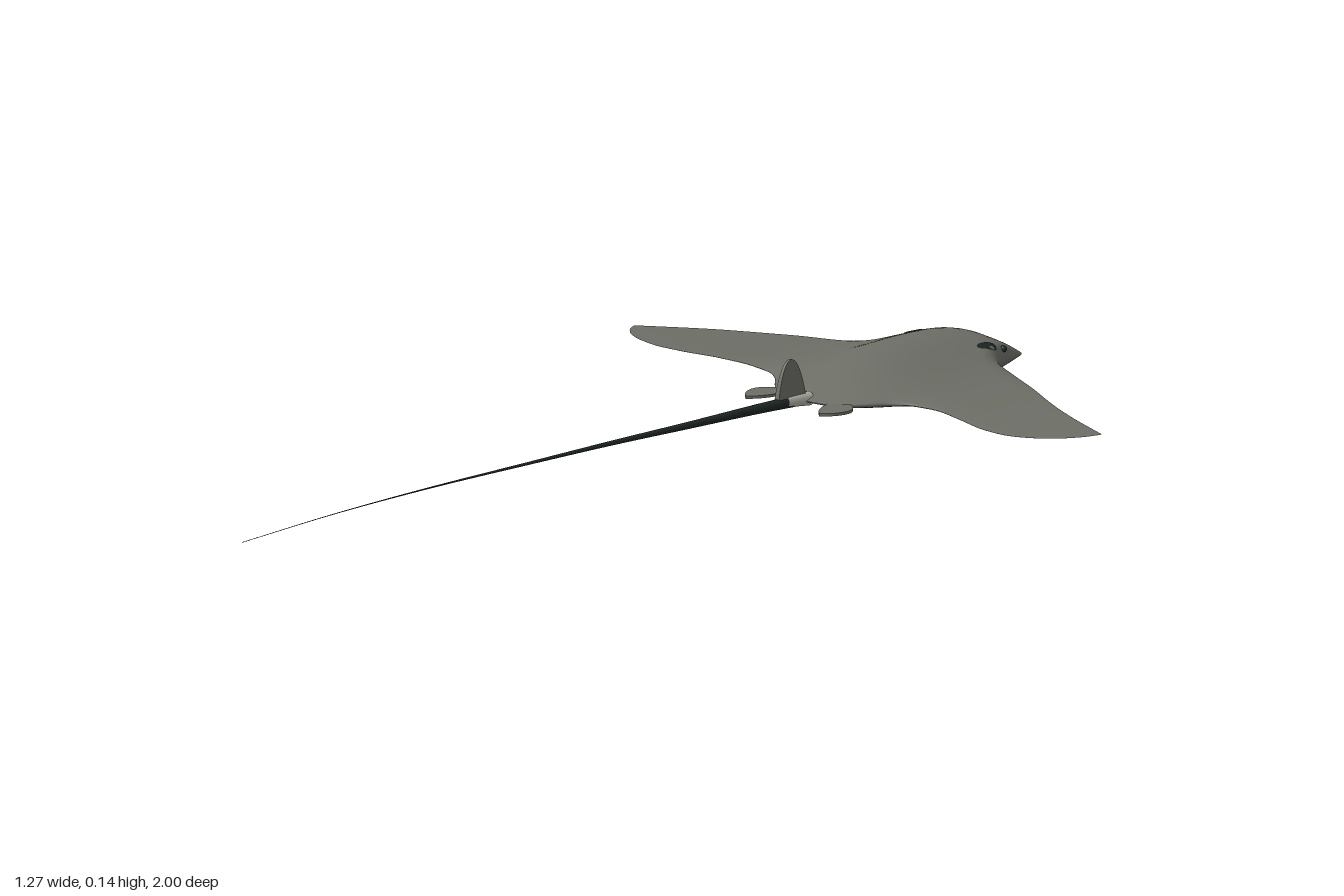
import * as THREE from 'three';

const mat = (name, color, side = THREE.FrontSide) => {
  const m = new THREE.MeshStandardMaterial({ color, side });
  m.name = name;
  return m;
};

// Smooth interpolation through [key, value] pairs without overshoot
function smooth(points) {
  const n = points.length;
  const slope = i => (points[i + 1][1] - points[i][1]) / (points[i + 1][0] - points[i][0]);
  const tangent = i => {
    if (i === 0 || i === n - 1) return slope(i === 0 ? 0 : n - 2);
    const a = slope(i - 1), b = slope(i);
    return a * b <= 0 ? 0 : 2 * a * b / (a + b);
  };
  const tangents = points.map((_, i) => tangent(i));
  return v => {
    const x = Math.min(Math.max(v, points[0][0]), points[n - 1][0]);
    let i = 0;
    while (i < n - 2 && x > points[i + 1][0]) i++;
    const h = points[i + 1][0] - points[i][0], t = (x - points[i][0]) / h;
    const t2 = t * t, t3 = t2 * t;
    return (2 * t3 - 3 * t2 + 1) * points[i][1] + (t3 - 2 * t2 + t) * h * tangents[i]
      + (3 * t2 - 2 * t3) * points[i + 1][1] + (t3 - t2) * h * tangents[i + 1];
  };
}

const SPAN = 0.636;
// Outline: front and rear edge against distance from the middle
const lead = smooth([[0, -1], [0.05, -0.997], [0.068, -0.985], [0.077, -0.96], [0.086, -0.93], [0.1, -0.88],
  [0.117, -0.83], [0.145, -0.79], [0.2, -0.757], [0.3, -0.692], [0.45, -0.575], [SPAN, -0.435]]);
const trail = smooth([[0, -0.285], [0.06, -0.293], [0.09, -0.31], [0.12, -0.34], [0.16, -0.385], [0.2, -0.408],
  [0.25, -0.412], [0.33, -0.39], [0.42, -0.355], [0.48, -0.343], [0.53, -0.35], [0.58, -0.37], [0.62, -0.405], [SPAN, -0.434]]);
// Heights along the spine, belly and rim, and across the wings
const spine = smooth([[-1, 0.035], [-0.95, 0.06], [-0.9, 0.082], [-0.85, 0.1], [-0.8, 0.109], [-0.7, 0.113],
  [-0.6, 0.112], [-0.5, 0.105], [-0.4, 0.084], [-0.35, 0.068], [-0.285, 0.05]]);
const belly = smooth([[-1, 0.02], [-0.95, 0.014], [-0.9, 0.009], [-0.8, 0.004], [-0.65, 0],
  [-0.5, 0.006], [-0.4, 0.02], [-0.285, 0.038]]);
const rim = smooth([[-1, 0.028], [-0.8, 0.045], [-0.285, 0.045]]);
const wing = smooth([[-SPAN, 0.078], [-0.5, 0.074], [-0.35, 0.063], [-0.22, 0.051], [0.2, 0.046],
  [0.35, 0.045], [0.48, 0.051], [SPAN, 0.065]]);
const bulge = smooth([[-1, 0.09], [-0.9, 0.12], [-0.8, 0.15], [-0.28, 0.15]]);

// Height of the upper (side 1) or lower (side -1) skin
function skin(x, z, side) {
  const ax = Math.abs(x);
  const mid = THREE.MathUtils.lerp(rim(z), wing(x), THREE.MathUtils.smoothstep(ax, 0.08, 0.25));
  const k = THREE.MathUtils.clamp(Math.min(z - lead(ax), trail(ax) - z) / 0.07, 0, 1);
  const edge = Math.sqrt(1 - (1 - k) ** 2);
  const swell = Math.exp(-((x / bulge(z)) ** 2));
  const body = ((side > 0 ? spine(z) : belly(z)) - rim(z)) * swell;
  return mid + edge * (body + side * 0.005 * (1 - swell) * (1.1 - ax / SPAN));
}

// Body and wings as one skin: closed loops from nose edge to rear edge and back
function bodyGeometry() {
  const stations = 180, half = 36, loop = half * 2;
  const pos = [], index = [];
  for (let i = 0; i <= stations; i++) {
    const u = i / stations * 2 - 1;
    const x = Math.sign(u) * SPAN * (0.75 * Math.abs(u) + 0.25 * u * u * (2 - Math.abs(u)));
    const a = lead(Math.abs(x)), b = trail(Math.abs(x));
    for (let j = 0; j < loop; j++) {
      const t = (1 - Math.cos(j / half * Math.PI)) / 2;
      const z = a + (b - a) * t;
      pos.push(x, skin(x, z, j <= half ? 1 : -1), z);
      if (i < stations) {
        const p = i * loop + j, q = i * loop + (j + 1) % loop;
        index.push(p, q, p + loop, q, q + loop, p + loop);
      }
    }
  }
  const g = new THREE.BufferGeometry();
  g.setAttribute('position', new THREE.Float32BufferAttribute(pos, 3));
  g.setIndex(index);
  g.computeVertexNormals();
  return g;
}

// Lay a flat geometry over the skin as a thin marking
function drape(geometry, cx, cz, rx, rz, side) {
  const p = geometry.attributes.position;
  for (let i = 0; i < p.count; i++) {
    const x = cx + p.getX(i) * rx, z = cz - side * p.getY(i) * rz;
    p.setXYZ(i, x, skin(x, z, side) + side * 0.002, z);
  }
  geometry.computeVertexNormals();
  return geometry;
}

// Tube whose radius follows a rule along the path
function taperedTube(curve, segments, sides, radius) {
  const g = new THREE.TubeGeometry(curve, segments, 1, sides);
  const p = g.attributes.position, v = new THREE.Vector3();
  for (let i = 0; i < p.count; i++) {
    const t = Math.floor(i / (sides + 1)) / segments, c = curve.getPointAt(t);
    v.fromBufferAttribute(p, i).sub(c).multiplyScalar(radius(t)).add(c);
    p.setXYZ(i, v.x, v.y, v.z);
  }
  return g;
}

export function createModel() {
  const model = new THREE.Group();
  const grey = mat('greySkin', 0x6c6e66);
  const dark = mat('darkSkin', 0x1f2825, THREE.DoubleSide);
  const pale = mat('paleTailBase', 0xb4b4a8);
  const add = (name, geometry, material) => {
    const m = new THREE.Mesh(geometry, material);
    m.name = name;
    model.add(m);
    return m;
  };

  add('bodyAndWings', bodyGeometry(), grey);

  // Whip tail
  const path = new THREE.CatmullRomCurve3([[0, 0.046, -0.3], [0, 0.054, -0.15], [-0.003, 0.061, 0.05], [-0.016, 0.065, 0.25],
    [-0.042, 0.062, 0.45], [-0.082, 0.053, 0.65], [-0.122, 0.039, 0.83], [-0.155, 0.022, 1]].map(p => new THREE.Vector3(...p)));
  add('tail', taperedTube(path, 80, 12, t => 0.0005 + 0.0125 * (1 - t) ** 2), dark);

  // Pale sleeve where the tail leaves the body
  const sleeve = new THREE.CatmullRomCurve3([new THREE.Vector3(0, 0.045, -0.31), new THREE.Vector3(0, 0.049, -0.27),
    new THREE.Vector3(0, 0.051, -0.235)]);
  add('tailBase', taperedTube(sleeve, 10, 12, t => 0.0155 - 0.003 * t), pale);

  // Small upright fin on the tail base
  const dorsal = new THREE.Shape();
  dorsal.moveTo(-0.295, 0.052);
  dorsal.bezierCurveTo(-0.285, 0.1, -0.27, 0.14, -0.25, 0.14);
  dorsal.bezierCurveTo(-0.23, 0.14, -0.215, 0.1, -0.208, 0.056);
  const dorsalGeo = new THREE.ExtrudeGeometry(dorsal, { depth: 0.012, bevelEnabled: false, curveSegments: 14 });
  dorsalGeo.translate(0, 0, -0.006).rotateY(-Math.PI / 2);
  const dp = dorsalGeo.attributes.position;
  for (let i = 0; i < dp.count; i++) dp.setX(i, dp.getX(i) * (1.1 - (dp.getY(i) - 0.05) * 7));
  dorsalGeo.computeVertexNormals();
  add('dorsalFin', dorsalGeo, grey);

  for (const s of [1, -1]) {
    const side = s > 0 ? 'left' : 'right';

    // Curled pelvic fin lobe
    const lobe = new THREE.Shape();
    lobe.moveTo(s * 0.045, -0.315);
    lobe.lineTo(s * 0.09, -0.325);
    lobe.bezierCurveTo(s * 0.12, -0.32, s * 0.137, -0.295, s * 0.13, -0.27);
    lobe.bezierCurveTo(s * 0.125, -0.245, s * 0.11, -0.235, s * 0.1, -0.225);
    lobe.bezierCurveTo(s * 0.085, -0.24, s * 0.075, -0.25, s * 0.065, -0.29);
    const lobeGeo = new THREE.ExtrudeGeometry(lobe, { depth: 0.006, bevelEnabled: false, curveSegments: 10 });
    lobeGeo.rotateX(Math.PI / 2).translate(0, 0.048, 0);
    add(side + 'PelvicFin', lobeGeo, grey);

    // Eye and spiracle
    const eye = add(side + 'Eye', new THREE.SphereGeometry(0.008, 14, 10), dark);
    eye.position.set(s * 0.098, skin(0.098 * s, -0.868, 1) + 0.003, -0.868);
    add(side + 'Spiracle', drape(new THREE.CircleGeometry(1, 24), s * 0.103, -0.797, 0.012, 0.034, 1), dark);

    // Five gill slits underneath
    for (let i = 0; i < 5; i++) {
      add(side + 'GillSlit', drape(new THREE.CircleGeometry(1, 14),
        s * (0.1 - i * 0.007), -0.71 + i * 0.045, 0.02, 0.005, -1), dark);
    }
  }

  // Curved mouth underneath
  add('mouth', drape(new THREE.RingGeometry(0.88, 1, 32, 2, 0, Math.PI), 0, -0.9, 0.055, 0.035, -1), dark);

  return model;
}
